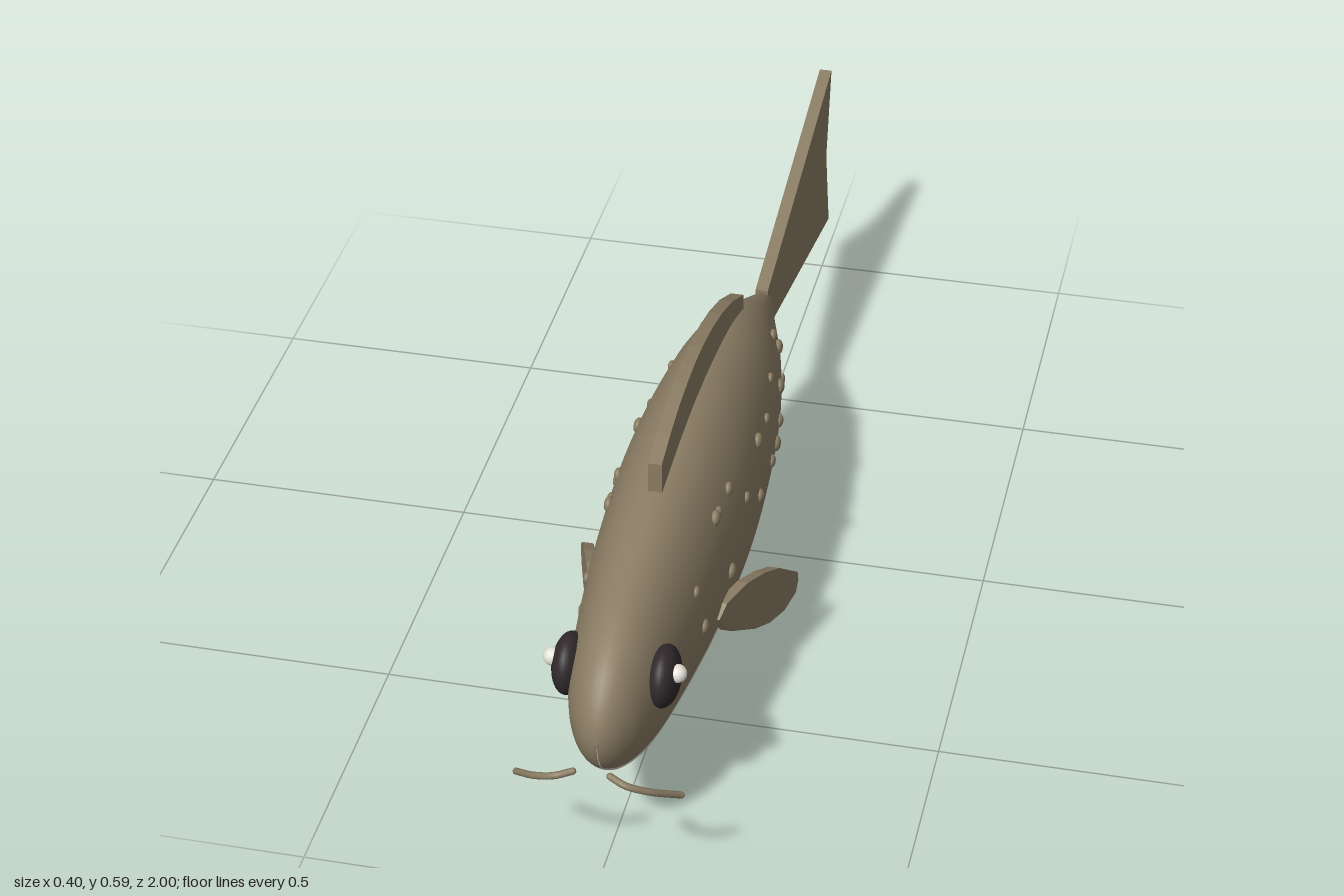
import * as THREE from 'three';

const mat = (name, color, side = THREE.FrontSide) => {
  const m = new THREE.MeshStandardMaterial({ color, side });
  m.name = name;
  return m;
};

export function createModel() {
  const olive = mat('olive brown skin', 0x8b7d64);
  const cream = mat('cream belly', 0xd8d4c8);
  const dark = mat('dark eye', 0x30292b);
  const shine = mat('eye shine', 0xf2eee4);
  const group = new THREE.Group();
  group.name = 'fish';

  const add = (name, geometry, material, parent = group) => {
    const mesh = new THREE.Mesh(geometry, material);
    mesh.name = name;
    parent.add(mesh);
    return mesh;
  };

  // Body: elliptical rings from nose to tail, (z, half height)
  const CENTRE = 0.293, RATIO = 0.565;
  const profile = new THREE.SplineCurve([
    [0.945, 0], [0.938, 0.035], [0.915, 0.075], [0.87, 0.115], [0.78, 0.153],
    [0.6, 0.19], [0.45, 0.209], [0.3, 0.218], [0.15, 0.212], [0, 0.192],
    [-0.1, 0.167], [-0.2, 0.128], [-0.3, 0.076], [-0.38, 0.035],
    [-0.41, 0.018], [-0.42, 0],
  ].map(([z, h]) => new THREE.Vector2(z, h)));
  const rings = profile.getPoints(75);
  const bellyLine = z => 0.21 + 0.05 * Math.max(0, (0.2 - z) / 0.62);

  // Each ring is split at the belly line so the two colours meet cleanly
  const BACK = 30, BELLY = 14, N = BACK + BELLY;
  const pos = [], backIdx = [], bellyIdx = [];
  rings.forEach(({ x: z, y }, i) => {
    const h = Math.max(y, 0.0005);
    const cut = Math.asin(Math.min(0.9995, (CENTRE - bellyLine(z)) / h));
    for (let j = 0; j < N; j++) {
      const a = j <= BACK
        ? -cut + (Math.PI + 2 * cut) * j / BACK
        : Math.PI + cut + (Math.PI - 2 * cut) * (j - BACK) / BELLY;
      pos.push(h * RATIO * Math.cos(a), CENTRE + h * Math.sin(a), z);
      if (i === rings.length - 1) continue;
      const k = (j + 1) % N, r = i * N, q = r + N;
      (j < BACK ? backIdx : bellyIdx).push(r + j, q + j, r + k, r + k, q + j, q + k);
    }
  });
  const body = new THREE.BufferGeometry();
  body.setAttribute('position', new THREE.Float32BufferAttribute(pos, 3));
  body.setIndex([...backIdx, ...bellyIdx]);
  body.addGroup(0, backIdx.length, 0);
  body.addGroup(backIdx.length, bellyIdx.length, 1);
  body.computeVertexNormals();
  add('body', body, [olive, cream]);

  // Half height of the body at a given z
  const heightAt = z => {
    const i = Math.max(1, rings.findIndex(p => p.x <= z));
    const a = rings[i - 1], b = rings[i];
    return THREE.MathUtils.lerp(a.y, b.y, (a.x - z) / (a.x - b.x));
  };

  // Fins: flat outlines in (z, y) with a small thickness across x
  const fin = (points, depth) => {
    const shape = new THREE.Shape(points.map(([z, y]) => new THREE.Vector2(z, y)));
    return new THREE.ExtrudeGeometry(shape, { depth, bevelEnabled: false })
      .translate(0, 0, -depth / 2).rotateY(-Math.PI / 2);
  };
  add('tailFin', fin([[-0.37, 0.338], [-1, 0.47], [-0.96, 0.293], [-1, 0.118], [-0.37, 0.25]], 0.024), olive);
  add('dorsalFin', fin([
    [0.515, 0.44], [0.515, 0.552], [0.45, 0.57], [0.38, 0.583], [0.32, 0.588],
    [0.26, 0.589], [0.2, 0.585], [0.12, 0.572], [0.04, 0.552], [-0.05, 0.52],
    [-0.147, 0.472], [-0.147, 0.4],
  ], 0.024), olive);
  add('analFin', fin([[0.28, 0.1], [0.25, 0.077], [0.135, 0], [-0.235, 0.155], [-0.235, 0.23]], 0.024), olive);

  const spots = [
    [0.62, 0.375], [0.61, 0.297], [0.465, 0.418], [0.447, 0.418], [0.38, 0.42],
    [0.45, 0.297], [0.318, 0.36], [0.23, 0.302], [0.185, 0.388], [0.1, 0.377],
    [0.1, 0.286], [0.03, 0.275], [-0.005, 0.393], [-0.02, 0.291], [-0.067, 0.334],
    [-0.13, 0.307], [-0.158, 0.382], [-0.17, 0.35],
  ];

  for (const s of [1, -1]) {
    const side = new THREE.Group();
    side.name = s > 0 ? 'leftSide' : 'rightSide';
    group.add(side);

    // Paired fin, swept outward towards the back
    const g = fin([
      [0.53, 0.25], [0.505, 0.268], [0.435, 0.265], [0.38, 0.248], [0.33, 0.224],
      [0.265, 0.17], [0.262, 0.15], [0.27, 0.128], [0.31, 0.115], [0.36, 0.123],
      [0.41, 0.145], [0.49, 0.197],
    ], 0.02);
    const p = g.attributes.position;
    for (let i = 0; i < p.count; i++) {
      p.setX(i, p.getX(i) + s * (0.108 + 0.32 * (0.52 - p.getZ(i))));
    }
    g.computeVertexNormals();
    add('pectoralFin', g, olive, side);

    // Eye with its bright spot
    const eye = add('eye', new THREE.SphereGeometry(0.054, 28, 18), dark, side);
    eye.scale.x = 0.52;
    eye.position.set(s * 0.081, 0.335, 0.8);
    const glint = add('eyeShine', new THREE.SphereGeometry(0.016, 16, 12), shine, side);
    glint.position.set(s * 0.106, 0.354, 0.812);

    // Whisker
    const path = new THREE.CatmullRomCurve3([
      [0.031, 0.26, 0.981], [0.06, 0.255, 0.993], [0.095, 0.239, 0.981], [0.14, 0.204, 0.938],
    ].map(([x, y, z]) => new THREE.Vector3(s * x, y, z)));
    add('whisker', new THREE.TubeGeometry(path, 16, 0.006, 8), olive, side);
    for (const t of [0, 1]) {
      const end = add('whiskerEnd', new THREE.SphereGeometry(0.006, 8, 6), olive, side);
      end.position.copy(path.getPoint(t));
    }

    // Raised spots sitting on the flank
    spots.forEach(([z, y], i) => {
      const h = heightAt(z), t = (y - CENTRE) / h;
      const spot = add('spot', new THREE.SphereGeometry(0.011 + 0.002 * (i % 3), 12, 8), olive, side);
      spot.scale.x = 0.6;
      spot.position.set(s * h * RATIO * Math.sqrt(Math.max(0, 1 - t * t)), y, z);
    });
  }
  return group;
}
